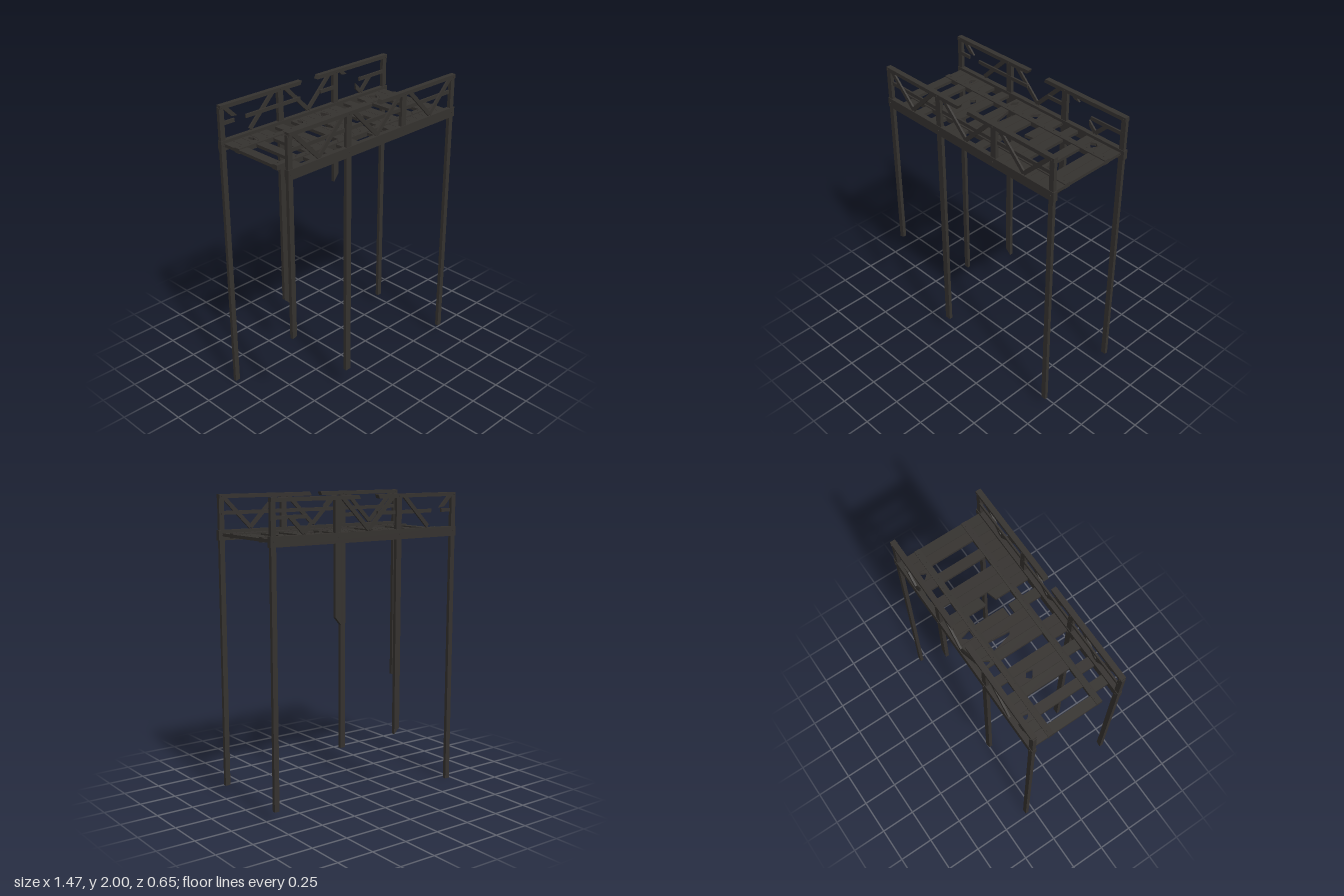
import * as THREE from 'three';

export function createModel() {
  const group = new THREE.Group();
  const mat = new THREE.MeshStandardMaterial({ color: 0x35322f });

  function add(name, geo) {
    const mesh = new THREE.Mesh(geo, mat);
    mesh.name = name;
    group.add(mesh);
    return mesh;
  }
  function box(name, x0, x1, y0, y1, z0, z1) {
    const g = new THREE.BoxGeometry(x1 - x0, y1 - y0, z1 - z0);
    g.translate((x0 + x1) / 2, (y0 + y1) / 2, (z0 + z1) / 2);
    return add(name, g);
  }
  const toPoints = (pts) => pts.map(([a, b]) => new THREE.Vector2(a, b));
  function extrude(pts, depth, hole) {
    const shape = new THREE.Shape(toPoints(pts));
    if (hole) shape.holes.push(new THREE.Path(toPoints(hole)));
    return new THREE.ExtrudeGeometry(shape, { depth, bevelEnabled: false });
  }
  // upright board: outline in x/y, thickness along z
  function upright(name, pts, z, depth) {
    return add(name, extrude(pts, depth).translate(0, 0, z - depth / 2));
  }
  // flat board: outline in x/z, thickness downwards
  function flat(name, pts, top, depth, hole) {
    return add(name, extrude(pts, depth, hole).rotateX(Math.PI / 2).translate(0, top, 0));
  }
  // slanted strip from a to b, covering the share t0..t1 of its length
  function strip(name, a, b, w, z, t0 = 0, t1 = 1) {
    const dx = b[0] - a[0], dy = b[1] - a[1], l = Math.hypot(dx, dy);
    const nx = (-dy / l) * w / 2, ny = (dx / l) * w / 2;
    const at = (t, s) => [a[0] + dx * t + nx * s, a[1] + dy * t + ny * s];
    const j = 0.06;
    const s0 = t0 > 0 ? j : 0, s1 = t1 < 1 ? j : 0;
    return upright(name, [at(t0 + s0, -1), at(t1 - s1, -1), at(t1 + s1, 1), at(t0 - s0, 1)], z, 0.012);
  }

  const zRow = 0.302;

  // posts: x, half width, left and right height of the foot for each side
  const posts = [
    { x: -0.715, w: 0.0175, front: [0.635, 0.645], back: [0, 0] },
    { x: -0.245, w: 0.021, front: [0.16, 0.16], back: [0.45, 0.41] },
    { x: 0.24, w: 0.021, front: [1.72, 1.72], back: [1.2, 1.25] },
    { x: 0.71, w: 0.0175, front: [0.075, 0.075], back: [0.075, 0.075] },
  ];
  for (const [side, s] of [['front', 1], ['back', -1]]) {
    const z = s * zRow;
    for (const p of posts) {
      const [l, r] = p[side];
      upright(side + 'Post', [[p.x - p.w, l], [p.x + p.w, r], [p.x + p.w, 1.985], [p.x - p.w, 1.985]], z, 0.024);
      // bolts through beam and rail
      for (const y of [1.745, 1.987]) {
        const bolt = new THREE.CylinderGeometry(0.005, 0.005, 0.042, 6);
        add('bolt', bolt.rotateX(Math.PI / 2).translate(p.x, y, z));
      }
    }
    // side beam and broken top rail
    box(side + 'Beam', -0.735, 0.735, 1.71, 1.775, z - 0.016, z + 0.016);
    const gap = s > 0 ? [-0.065, 0.02] : [-0.08, 0.07];
    upright(side + 'TopRail', [[-0.727, 1.975], [gap[0], 1.975], [gap[0] + 0.012, 2], [-0.727, 2]], z, 0.035);
    upright(side + 'TopRail', [[gap[1], 1.975], [0.727, 1.975], [0.727, 2], [gap[1] + 0.012, 2]], z, 0.035);
  }

  // middle rails, the back one in pieces
  const midRails = {
    front: [[-0.71, 0.71]],
    back: [[-0.71, -0.62], [-0.53, -0.08], [0.1, 0.24], [0.46, 0.71]],
  };
  for (const [side, s] of [['front', 1], ['back', -1]]) {
    for (const [a, b] of midRails[side]) {
      strip(side + 'MidRail', [a, 1.883], [b, 1.883], 0.024, s * (zRow - 0.007));
    }
  }

  // V braces: two per panel, drawn over the given share of their length
  const braces = [
    [-0.69, -0.49], [-0.29, -0.49], [-0.2, 0], [0.2, 0], [0.29, 0.49], [0.69, 0.49],
  ];
  const backShares = [
    [[0, 0.4]], [[0, 1]], [[0, 1]], [[0, 1]], [[0, 0.2], [0.75, 1]], [[0.55, 1]],
  ];
  braces.forEach(([xTop, xLow], i) => {
    const a = [xTop, 1.985], b = [xLow, 1.785];
    strip('frontBrace', a, b, 0.027, zRow + 0.006);
    for (const [t0, t1] of backShares[i]) strip('backBrace', a, b, 0.027, -zRow - 0.006, t0, t1);
  });

  // deck planks in three strips, some missing or holed
  const pitch = 0.0677, x0 = -0.711, width = 0.0655;
  const zones = [
    { name: 'backPlank', z: [-0.295, -0.168], missing: [5, 7, 14, 16] },
    { name: 'middlePlank', z: [-0.168, 0.175], missing: [1, 3, 7, 9, 11, 12, 13, 16, 18] },
    { name: 'frontPlank', z: [0.175, 0.295], missing: [0, 2, 4, 6, 9, 10, 12] },
  ];
  // holes as fractions of plank width and z
  const holes = {
    backPlank2: [[0.3, -0.245], [0.6, -0.27], [0.8, -0.24], [0.7, -0.2], [0.35, -0.22]],
    backPlank8: [[0.25, -0.235], [0.6, -0.27], [0.85, -0.24], [0.5, -0.205], [0.3, -0.21]],
    backPlank11: [[0.08, -0.225], [0.6, -0.265], [0.9, -0.195], [0.1, -0.195]],
    backPlank18: [[0.04, -0.245], [0.45, -0.262], [0.95, -0.24], [0.6, -0.2], [0.3, -0.22]],
    middlePlank5: [[0.04, -0.06], [0.4, -0.09], [0.85, -0.065], [0.75, -0.025], [0.35, -0.045]],
  };
  const left = (i) => x0 + pitch * i;
  const plank = (name, i, pts, hole) => {
    const map = ([f, z]) => [left(i) + f * width, z];
    flat(name, pts.map(map), 1.755, 0.02, hole && hole.map(map));
  };
  for (const { name, z: [a, b], missing } of zones) {
    for (let i = 0; i < 21; i++) {
      if (!missing.includes(i)) plank(name, i, [[0, a], [1, a], [1, b], [0, b]], holes[name + i]);
    }
  }
  // splintered planks
  plank('brokenPlank', 9, [[0, -0.15], [0.4, -0.04], [0.55, -0.01], [0.8, 0], [1, -0.15], [1, 0.175], [0, 0.175]]);
  plank('brokenPlank', 11, [[0, -0.168], [1, -0.168], [1, 0.055], [0, 0.055]]);
  plank('brokenPlank', 11, [[0, 0.093], [1, 0.093], [1, 0.175], [0, 0.175]]);
  plank('brokenPlank', 13, [[0, -0.168], [1, -0.168], [1, -0.03], [0, -0.02]]);
  plank('brokenPlank', 13, [[0, 0.05], [1, 0.032], [1, 0.175], [0, 0.175]]);

  // long boards holding the planks, with nails
  for (const z of [-0.168, 0.175]) {
    box('stringer', -0.712, 0.708, 1.73, 1.762, z - 0.02, z + 0.02);
    for (let i = 0; i < 21; i++) {
      const nail = new THREE.CylinderGeometry(0.004, 0.004, 0.006, 6);
      add('nail', nail.translate(left(i) + width / 2, 1.763, z + (i % 2 ? 0.006 : -0.006)));
    }
  }
  return group;
}
